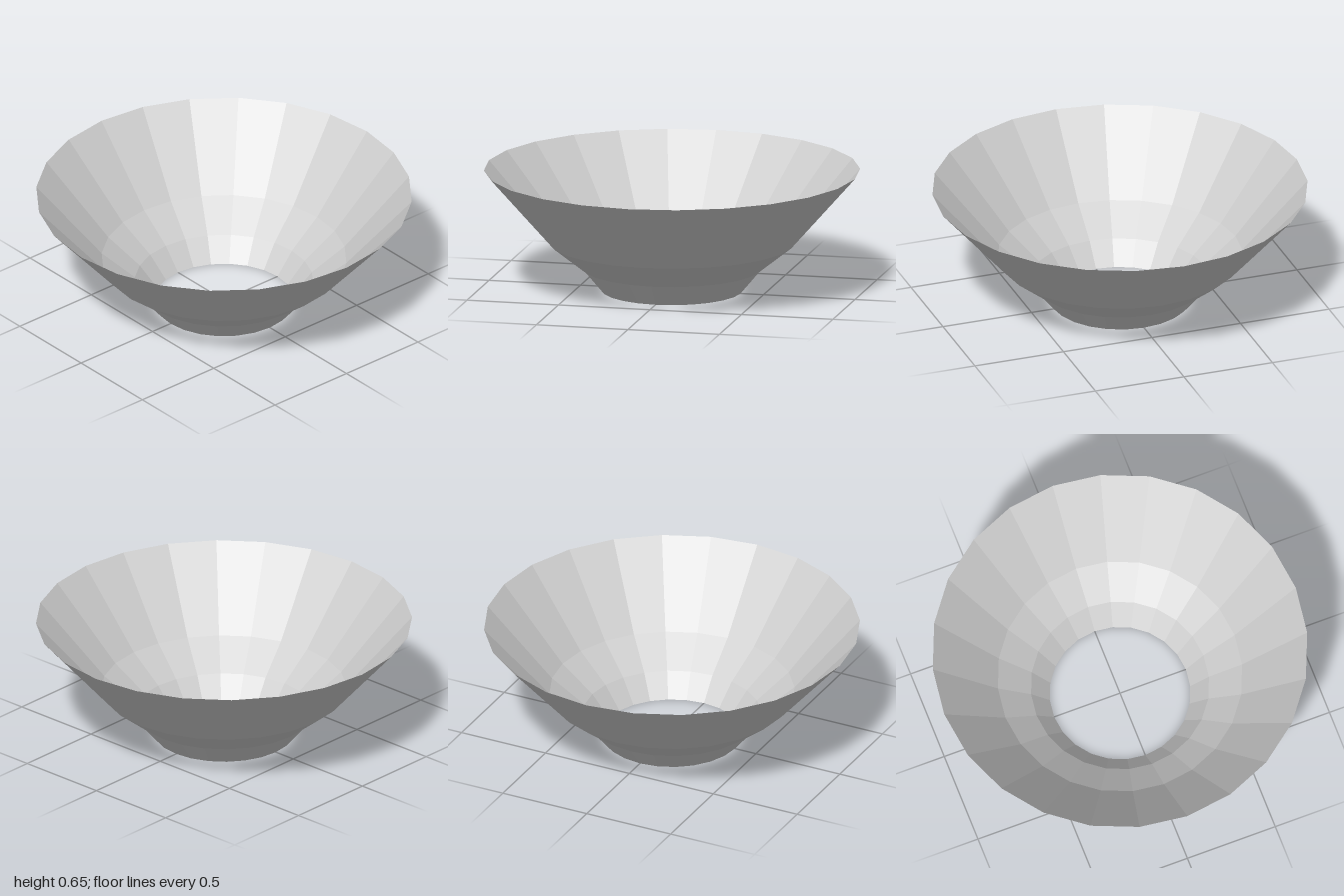
import * as THREE from 'three';

export function createModel() {
  const group = new THREE.Group();
  group.name = 'flaredBowl';

  const grey = new THREE.MeshStandardMaterial({
    color: 0xcccccc,
    flatShading: true,
    side: THREE.DoubleSide,
  });
  grey.name = 'light grey';

  // Open-ended thin shell: foot, shoulder and wide flared wall
  const profile = [
    [0.375, 0],
    [0.475, 0.12],
    [0.652, 0.26],
    [1, 0.655],
  ].map(([r, y]) => new THREE.Vector2(r, y));

  const shell = new THREE.Mesh(new THREE.LatheGeometry(profile, 24), grey);
  shell.name = 'bowlShell';
  group.add(shell);

  return group;
}
